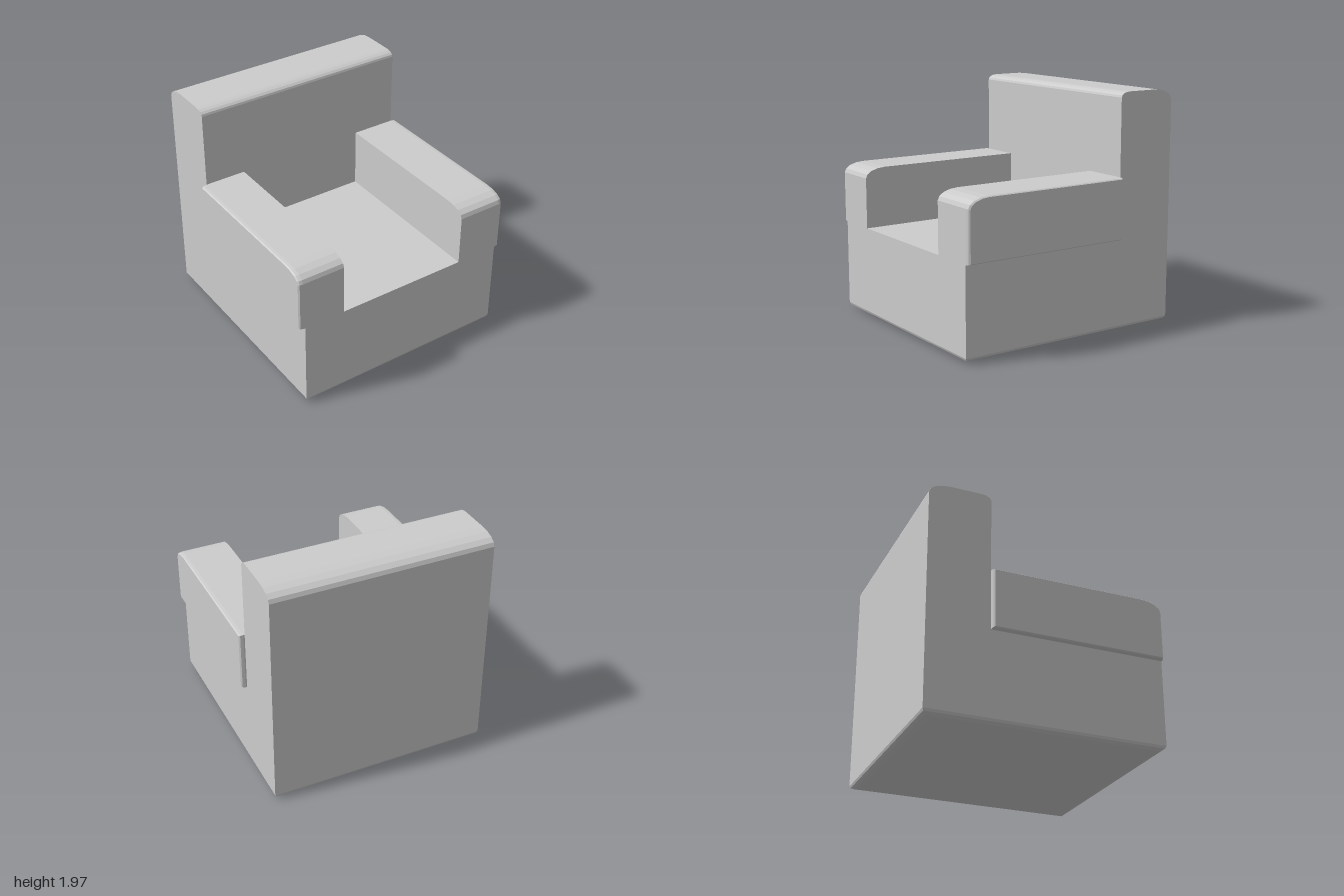
import * as THREE from 'three';

// Quarter-ellipse points from angle a0 to a1 (degrees) around a centre
function arc(cx, cy, rx, ry, a0, a1, n = 4) {
  const pts = [];
  for (let i = 0; i <= n; i++) {
    const a = THREE.MathUtils.degToRad(a0 + ((a1 - a0) * i) / n);
    pts.push([cx + rx * Math.cos(a), cy + ry * Math.sin(a)]);
  }
  return pts;
}

// Closed, flat-shaded solid through convex rings that run counter-clockwise around the direction of travel
function loft(rings) {
  const pos = [];
  const tri = (...p) => p.forEach((v) => pos.push(...v));
  const n = rings[0].length;
  for (let r = 0; r < rings.length - 1; r++) {
    for (let j = 0; j < n; j++) {
      const k = (j + 1) % n;
      const a = rings[r][j], b = rings[r][k], c = rings[r + 1][k], d = rings[r + 1][j];
      tri(a, b, c);
      tri(a, c, d);
    }
  }
  const first = rings[0], last = rings[rings.length - 1];
  for (let j = 1; j < n - 1; j++) {
    tri(first[0], first[j + 1], first[j]);
    tri(last[0], last[j], last[j + 1]);
  }
  const geo = new THREE.BufferGeometry();
  geo.setAttribute('position', new THREE.Float32BufferAttribute(pos, 3));
  geo.computeVertexNormals();
  return geo;
}

export function createModel() {
  const group = new THREE.Group();
  const fabric = new THREE.MeshStandardMaterial({ color: 0xcccccc });
  fabric.name = 'light grey fabric';
  const add = (name, geo) => {
    const mesh = new THREE.Mesh(geo, fabric);
    mesh.name = name;
    group.add(mesh);
  };

  const left = -0.935, right = 0.94, seatY = 0.775, backZ = -0.475, topY = 1.965, skirtY = 0.05;

  // Seat block and backrest: one L-shaped side profile (z, y) with a rounded top
  const profile = [
    [-1, skirtY], [1, skirtY], [1, seatY], [backZ, seatY],
    ...arc(backZ - 0.085, topY - 0.045, 0.085, 0.045, 0, 90),
    ...arc(-0.82, topY - 0.085, 0.18, 0.085, 90, 180),
  ];
  const body = new THREE.ExtrudeGeometry(
    new THREE.Shape(profile.map(([z, y]) => new THREE.Vector2(z, y))),
    { depth: right - left, bevelEnabled: false },
  );
  body.rotateY(-Math.PI / 2).translate(right, 0, 0);
  add('seatAndBackrest', body);

  // Rounded underside
  const skirtRings = arc(0, skirtY, 1, skirtY, -90, 0).map(([c, y]) => {
    const ix = 0.15 * (1 - c), iz = 0.11 * (1 - c);
    return [
      [left + ix, y, 1 - iz], [right - ix, y, 1 - iz],
      [right - ix, y, -1 + iz], [left + ix, y, -1 + iz],
    ];
  });
  add('roundedBase', loft(skirtRings));

  // Armrests: side profile with a rounded front, softened towards the outer face
  const armProfile = [
    [backZ, 1.283],
    ...arc(0.82, 1.2, 0.18, 0.083, 90, 0),
    [1, seatY], [backZ, seatY],
  ];
  const midZ = (1 + backZ) / 2, midY = (1.283 + seatY) / 2;
  const armRing = (x, s) =>
    armProfile.map(([z, y]) => [x, midY + (y - midY) * (1 - 0.04 * s), midZ + (z - midZ) * (1 - 0.025 * s)]);
  for (const [name, side, inner] of [['leftArmrest', 1, 0.56], ['rightArmrest', -1, 0.58]]) {
    const rings = [[inner, 0], [0.95, 0], [0.975, 0.3], [0.985, 1]].map(([x, s]) => armRing(side * x, s));
    if (side < 0) rings.reverse();
    add(name, loft(rings));
  }
  return group;
}
